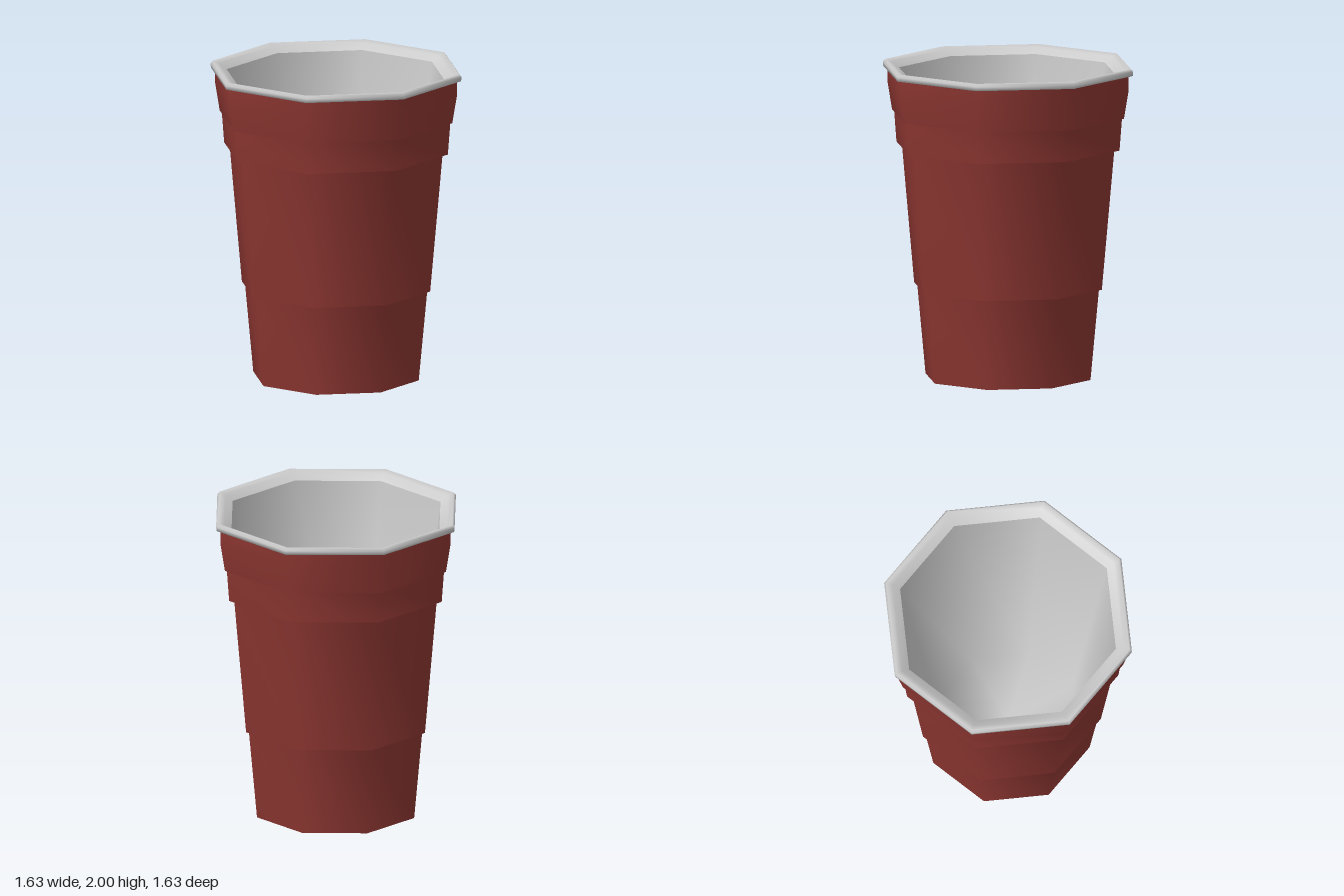
import * as THREE from 'three';
import { toCreasedNormals } from 'three/addons/utils/BufferGeometryUtils.js';

const SIDES = 8;
const red = new THREE.MeshStandardMaterial({ color: 0x8c3631 });
const grey = new THREE.MeshStandardMaterial({ color: 0xcccccc });

// Eight-sided turned surface from [radius, height] pairs
function turned(profile) {
  return new THREE.LatheGeometry(profile.map(([r, y]) => new THREE.Vector2(r, y)), SIDES);
}

function part(name, geometry, material) {
  const mesh = new THREE.Mesh(geometry, material);
  mesh.name = name;
  return mesh;
}

export function createModel() {
  const cup = new THREE.Group();
  cup.name = 'cup';

  // Tapered outer wall with three stepped bands, smooth around, sharp at the steps
  const wall = turned([
    [0.537, 0], [0.592, 0.58],
    [0.611, 0.58], [0.692, 1.475],
    [0.726, 1.475], [0.742, 1.68],
    [0.755, 1.68], [0.785, 1.86], [0.785, 1.955],
  ]);
  cup.add(part('outerWall', toCreasedNormals(wall, 1.0), red));

  // Flat underside
  const base = new THREE.CircleGeometry(0.537, SIDES).rotateX(Math.PI / 2);
  cup.add(part('base', base, red));

  // Rolled lip, sloping inward to the liner
  cup.add(part('rim', turned([
    [0.78, 1.952], [0.812, 1.955], [0.815, 1.982], [0.80, 2.0], [0.76, 1.985], [0.71, 1.95],
  ]), grey));

  // Inner wall and floor
  cup.add(part('liner', turned([[0.71, 1.95], [0.462, 0.07], [0, 0.07]]), grey));

  return cup;
}
